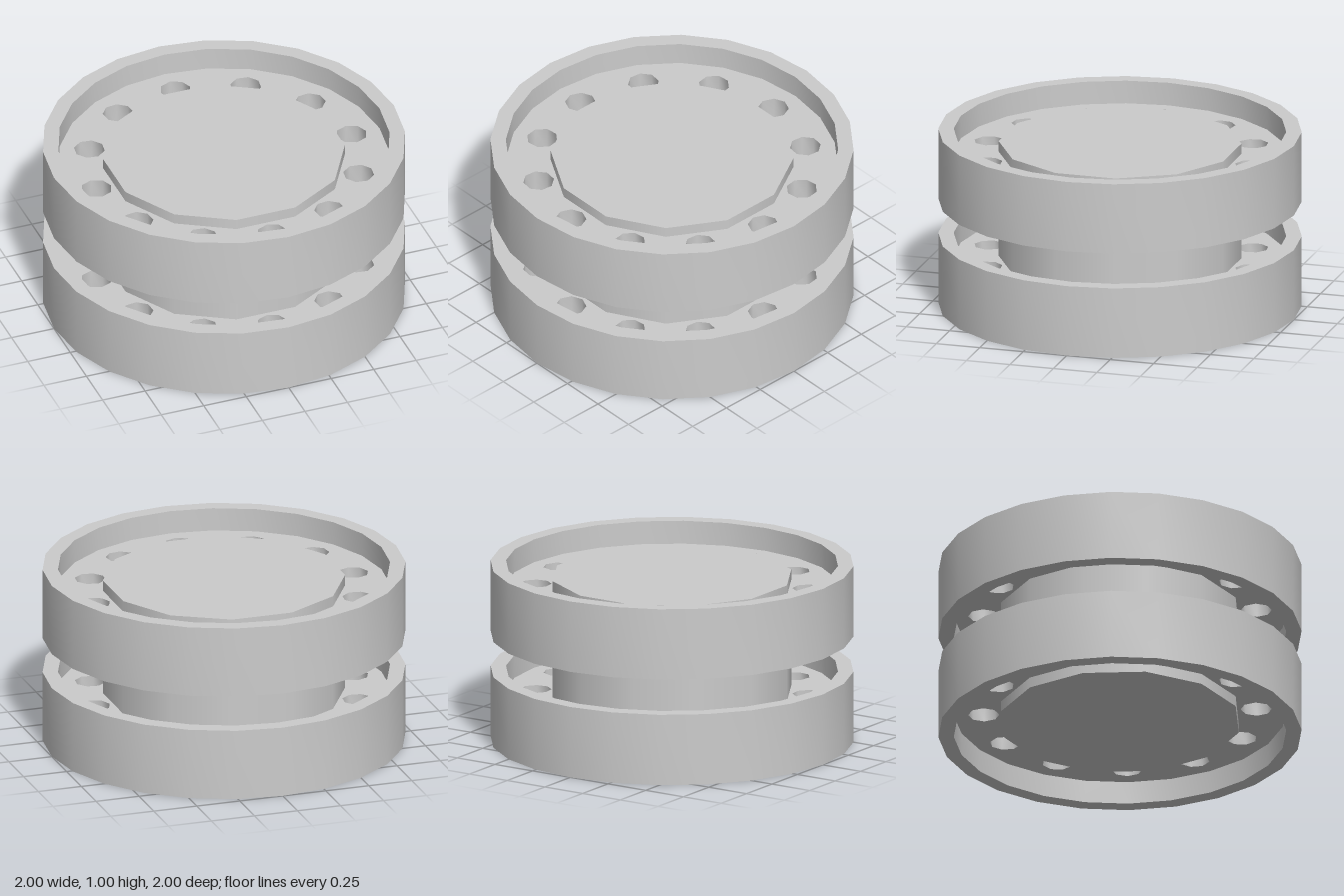
import * as THREE from 'three';
import { toCreasedNormals } from 'three/addons/utils/BufferGeometryUtils.js';

const material = new THREE.MeshStandardMaterial({ color: 0xcccccc });

// Corner points of a regular polygon
function polygon(sides, radius, cx = 0, cy = 0, turn = 0) {
  return Array.from({ length: sides }, (_, i) => {
    const a = turn + (i / sides) * Math.PI * 2;
    return new THREE.Vector2(cx + radius * Math.cos(a), cy + radius * Math.sin(a));
  });
}

// Upright plate with holes, standing on y = 0, smooth round its walls
function plate(name, outline, holes, height) {
  const shape = new THREE.Shape(outline);
  shape.holes = holes.map((points) => new THREE.Path(points));
  const geometry = new THREE.ExtrudeGeometry(shape, { depth: height, bevelEnabled: false });
  geometry.rotateX(-Math.PI / 2);
  const mesh = new THREE.Mesh(toCreasedNormals(geometry, 0.9), material);
  mesh.name = name;
  return mesh;
}

// One wheel: outer rim and a recessed web pierced by a ring of holes
function createWheel(name) {
  const wheel = new THREE.Group();
  wheel.name = name;

  wheel.add(plate('rim', polygon(24, 1), [polygon(24, 0.915)], 0.4));

  const holes = [];
  for (let i = 0; i < 12; i++) {
    const a = (i / 12) * Math.PI * 2;
    holes.push(polygon(8, 0.086, 0.75 * Math.cos(a), 0.75 * Math.sin(a), a));
  }
  const web = plate('web', polygon(24, 0.915), holes, 0.14);
  web.position.y = 0.13;
  wheel.add(web);
  return wheel;
}

export function createModel() {
  const model = new THREE.Group();
  model.name = 'doubleWheel';

  const lower = createWheel('lowerWheel');
  const upper = createWheel('upperWheel');
  upper.position.y = 0.6;
  model.add(lower, upper);

  // Twelve-sided hub running through both wheels
  const hub = new THREE.Mesh(new THREE.CylinderGeometry(0.668, 0.668, 0.86, 12), material);
  hub.name = 'hub';
  hub.rotation.y = Math.PI / 12;
  hub.position.y = 0.5;
  model.add(hub);

  return model;
}
